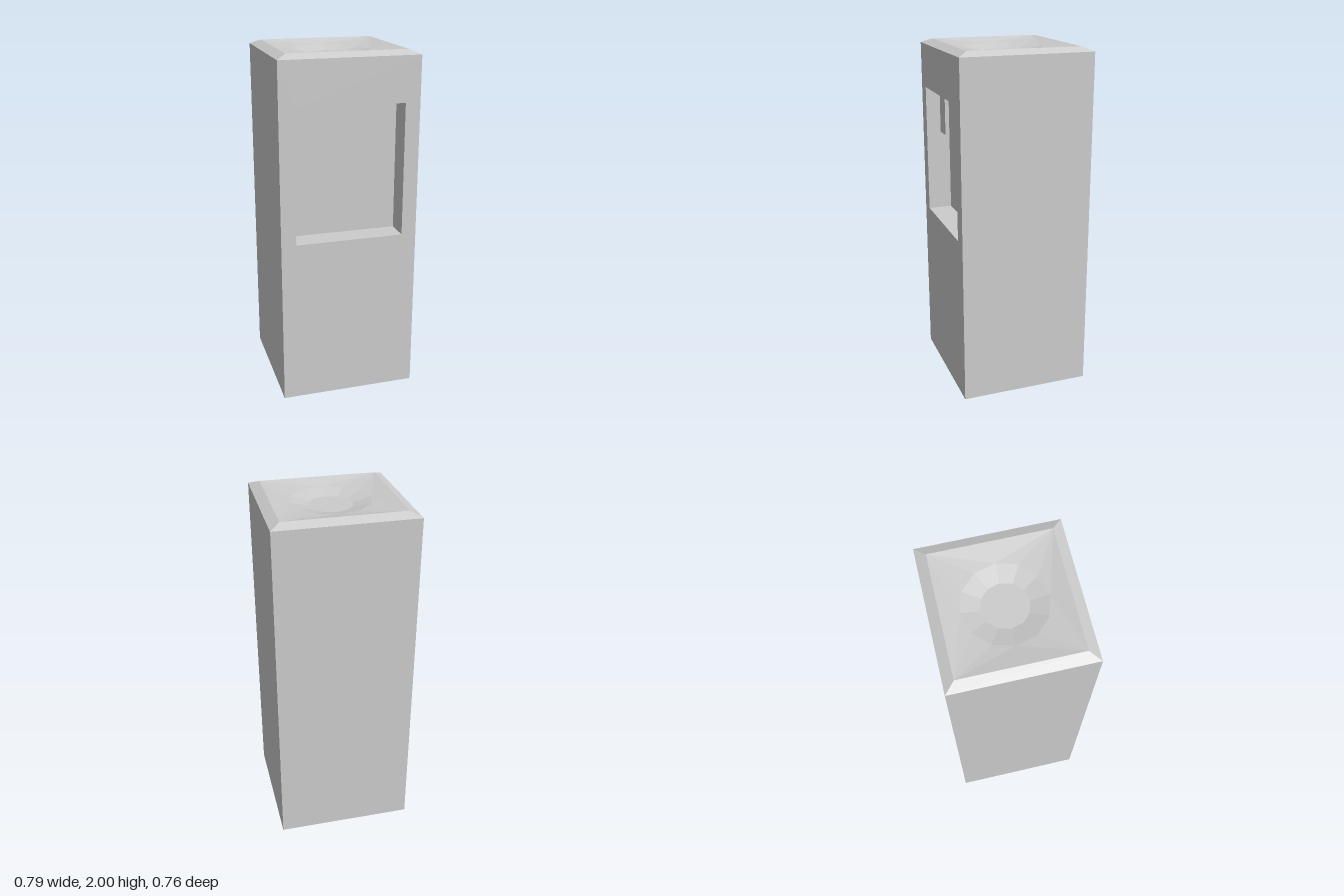
import * as THREE from 'three';

// Flat-faced geometry from convex polygons, corners counter-clockwise from outside
function facets(polygons) {
  const pos = [];
  for (const p of polygons)
    for (let i = 1; i < p.length - 1; i++) pos.push(...p[0], ...p[i], ...p[i + 1]);
  const g = new THREE.BufferGeometry();
  g.setAttribute('position', new THREE.Float32BufferAttribute(pos, 3));
  g.computeVertexNormals();
  return g;
}

// Quads joining two closed loops of points
const loft = (a, b) => a.map((p, i) => {
  const j = (i + 1) % a.length;
  return [p, a[j], b[j], b[i]];
});

// Horizontal loops, counter-clockwise from above; the rectangle starts at back +x
const rect = (x, y, z) => [[x, y, -z], [-x, y, -z], [-x, y, z], [x, y, z]];
const ring = (r, y, n = 12) => Array.from({ length: n }, (_, i) => {
  const a = (i / n) * Math.PI * 2;
  return [r * Math.cos(a), y, -r * Math.sin(a)];
});

export function createModel() {
  const group = new THREE.Group();
  const grey = new THREE.MeshStandardMaterial({ color: 0xcccccc });
  grey.name = 'light grey';
  const add = (name, geometry) => {
    const mesh = new THREE.Mesh(geometry, grey);
    mesh.name = name;
    group.add(mesh);
    return mesh;
  };

  const W = 0.395, D = 0.38, H = 1.975;          // cabinet half width, half depth, height
  const rx = 0.31, y0 = 0.96, y1 = 1.72, rz = 0.24; // recess opening and back wall

  // Cabinet sides, back and underside
  const base = rect(W, 0, D), shoulder = rect(W, H, D);
  const walls = loft(base, shoulder).filter((_, i) => i !== 2);
  add('cabinet', facets([...walls, [...base].reverse()]));

  // Front panel with the dispensing opening
  const opening = z => [[-rx, y0, z], [rx, y0, z], [rx, y1, z], [-rx, y1, z]];
  const toPath = pts => pts.map(([x, y]) => new THREE.Vector2(x, y));
  const panel = new THREE.Shape(toPath([[-W, 0], [W, 0], [W, H], [-W, H]]));
  panel.holes.push(new THREE.Path(toPath(opening(0)).reverse()));
  add('frontPanel', new THREE.ShapeGeometry(panel).translate(0, 0, D));

  // Recess walls and back
  add('recess', facets([...loft(opening(D), opening(rz)), opening(rz)]));

  // Two flat tap plates hanging from the recess ceiling
  for (const [name, x] of [['rightTap', -0.141], ['leftTap', 0.138]])
    add(name, new THREE.PlaneGeometry(0.106, 0.25)).position.set(x, 1.595, 0.326);

  // Bevelled rim
  const rim = rect(0.338, 2, 0.324);
  add('topRim', facets(loft(shoulder, rim)));

  // Shallow dish: each corner fans to a quarter of the bowl, each edge meets one point
  const bowl = ring(0.225, 1.975), floor = ring(0.125, 1.95);
  const dish = [];
  rim.forEach((corner, k) => {
    for (let j = 3 * k; j < 3 * k + 3; j++) dish.push([corner, bowl[(j + 1) % 12], bowl[j]]);
    dish.push([corner, rim[(k + 1) % 4], bowl[(3 * k + 3) % 12]]);
  });
  add('topDish', facets(dish));

  // Bottle bowl in the middle
  add('bottleBowl', facets([...loft(bowl, floor), floor]));

  return group;
}
